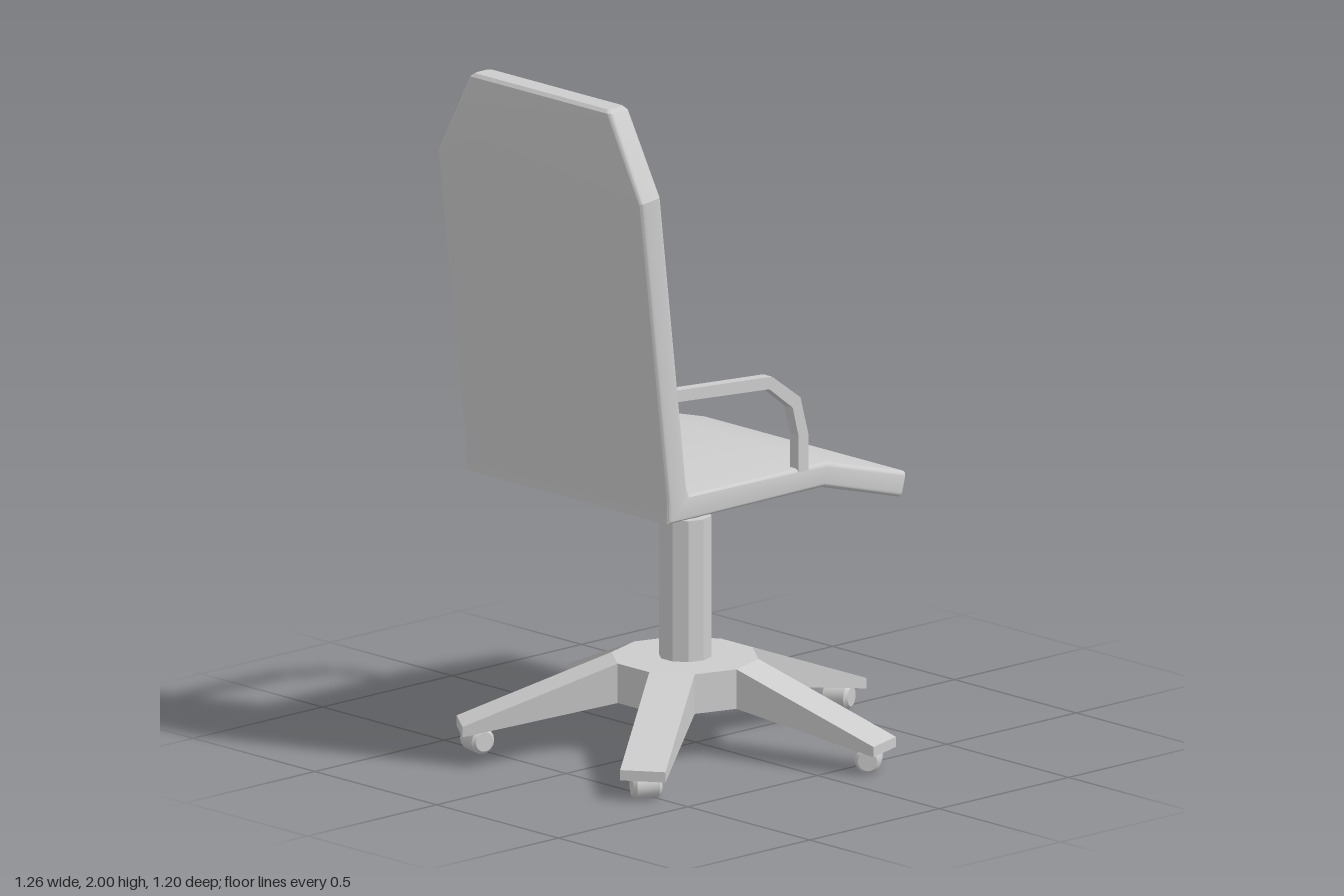
import * as THREE from 'three';
import { toCreasedNormals } from 'three/addons/utils/BufferGeometryUtils.js';

const material = new THREE.MeshStandardMaterial({ color: 0xcccccc });
const flat = new THREE.MeshStandardMaterial({ color: 0xcccccc, flatShading: true });
const AXIS_Z = 0.04; // the column stands slightly behind the centre

function add(parent, name, geometry, mat = material) {
  const mesh = new THREE.Mesh(geometry, mat);
  mesh.name = name;
  parent.add(mesh);
  return mesh;
}

// Extrude a side profile of [z, y] points across x, centred on x = 0
function sideExtrude(points, width) {
  const shape = new THREE.Shape(points.map(([z, y]) => new THREE.Vector2(-z, y)));
  const g = new THREE.ExtrudeGeometry(shape, { depth: width, bevelEnabled: false });
  return g.translate(0, 0, -width / 2).rotateY(Math.PI / 2);
}

// Rounded rectangle as [u, v]: u is an offset in x, v a fraction of the thickness
function section(halfWidth, thickness, inset) {
  const r = 0.014, steps = 4, pts = [];
  const w = halfWidth - inset - r, h = thickness / 2 - inset - r;
  [[1, 1], [-1, 1], [-1, -1], [1, -1]].forEach(([sx, sy], q) => {
    for (let k = 0; k <= steps; k++) {
      const a = (q + k / steps) * Math.PI / 2;
      pts.push([sx * w + r * Math.cos(a), 0.5 + (sy * h + r * Math.sin(a)) / thickness]);
    }
  });
  return pts;
}

// Loft through stations: [outer z, outer y, inner z, inner y, half width, inset]
function shellGeometry(stations) {
  const pos = [], index = [];
  let n = 0;
  for (const [oz, oy, iz, iy, half, inset] of stations) {
    const pts = section(half, Math.hypot(iz - oz, iy - oy), inset);
    n = pts.length;
    for (const [u, v] of pts) pos.push(u - 0.01, oy + (iy - oy) * v, oz + (iz - oz) * v);
  }
  const last = (stations.length - 1) * n;
  for (let s = 0; s < last; s += n) {
    for (let j = 0; j < n; j++) {
      const k = (j + 1) % n;
      index.push(s + j, s + k, s + n + k, s + j, s + n + k, s + n + j);
    }
  }
  for (let j = 1; j < n - 1; j++) {
    index.push(0, j + 1, j, last, last + j, last + j + 1);
  }
  const g = new THREE.BufferGeometry();
  g.setAttribute('position', new THREE.Float32BufferAttribute(pos, 3));
  g.setIndex(index);
  return toCreasedNormals(g, 0.45);
}

function decagon(radius, y0, y1) {
  const g = new THREE.CylinderGeometry(radius, radius, y1 - y0, 10);
  return g.rotateY(Math.PI / 10).translate(0, (y0 + y1) / 2, 0);
}

export function createModel() {
  const chair = new THREE.Group();
  chair.name = 'officeChair';

  // Seat and backrest: one bent slab from the front lip to the top edge
  const W = 0.42;
  add(chair, 'seatAndBack', shellGeometry([
    [-0.418, 0.715, -0.437, 0.784, W, 0.01],
    [-0.408, 0.718, -0.427, 0.790, W, 0],
    [-0.110, 0.800, -0.125, 0.872, W, 0],
    [0.488, 0.800, 0.405, 0.872, W, 0],
    [0.488, 0.868, 0.415, 0.895, W, 0],
    [0.595, 1.750, 0.517, 1.760, W, 0],
    [0.595, 1.990, 0.517, 1.990, 0.29, 0],
    [0.595, 2.000, 0.517, 2.000, 0.285, 0.008],
  ]));

  // Armrests: bent flat bars from backrest to seat
  const armProfile = [
    [0.47, 1.187], [0.09, 1.16], [-0.02, 1.08], [-0.05, 0.97], [-0.05, 0.86],
    [-0.012, 0.86], [-0.012, 0.97], [0.01, 1.055], [0.1, 1.125], [0.47, 1.153],
  ];
  for (const side of [-1, 1]) {
    const arm = add(chair, side > 0 ? 'leftArmrest' : 'rightArmrest',
      sideExtrude(armProfile, 0.035), flat);
    arm.position.x = side * 0.402 - 0.01;
  }

  // Base: column, hub, five legs and casters
  const base = new THREE.Group();
  base.name = 'base';
  base.position.z = AXIS_Z;
  chair.add(base);
  add(base, 'gasLift', decagon(0.05, 0.6, 0.81), flat);
  add(base, 'column', decagon(0.075, 0.2, 0.67), flat);
  add(base, 'hub', decagon(0.21, 0.145, 0.26), flat);

  const legGeometry = sideExtrude([
    [-0.19, 0.26], [-0.2, 0.26], [-0.64, 0.09], [-0.64, 0.06], [-0.2, 0.145], [-0.19, 0.145],
  ], 0.13);
  const wheelProfile = [[0, -0.042], [0.028, -0.042], [0.037, -0.032],
    [0.037, 0.032], [0.028, 0.042], [0, 0.042]].map(([r, y]) => new THREE.Vector2(r, y));
  const wheelGeometry = toCreasedNormals(
    new THREE.LatheGeometry(wheelProfile, 16).rotateZ(Math.PI / 2), 0.6);

  for (let i = 0; i < 5; i++) {
    const arm = new THREE.Group();
    arm.name = 'legAssembly';
    arm.rotation.y = i * Math.PI * 2 / 5;
    base.add(arm);
    add(arm, 'leg', legGeometry, flat);
    const wheel = add(arm, 'caster', wheelGeometry);
    wheel.position.set(0, 0.037, -0.59);
    wheel.rotation.y = 0.4;
  }
  return chair;
}
